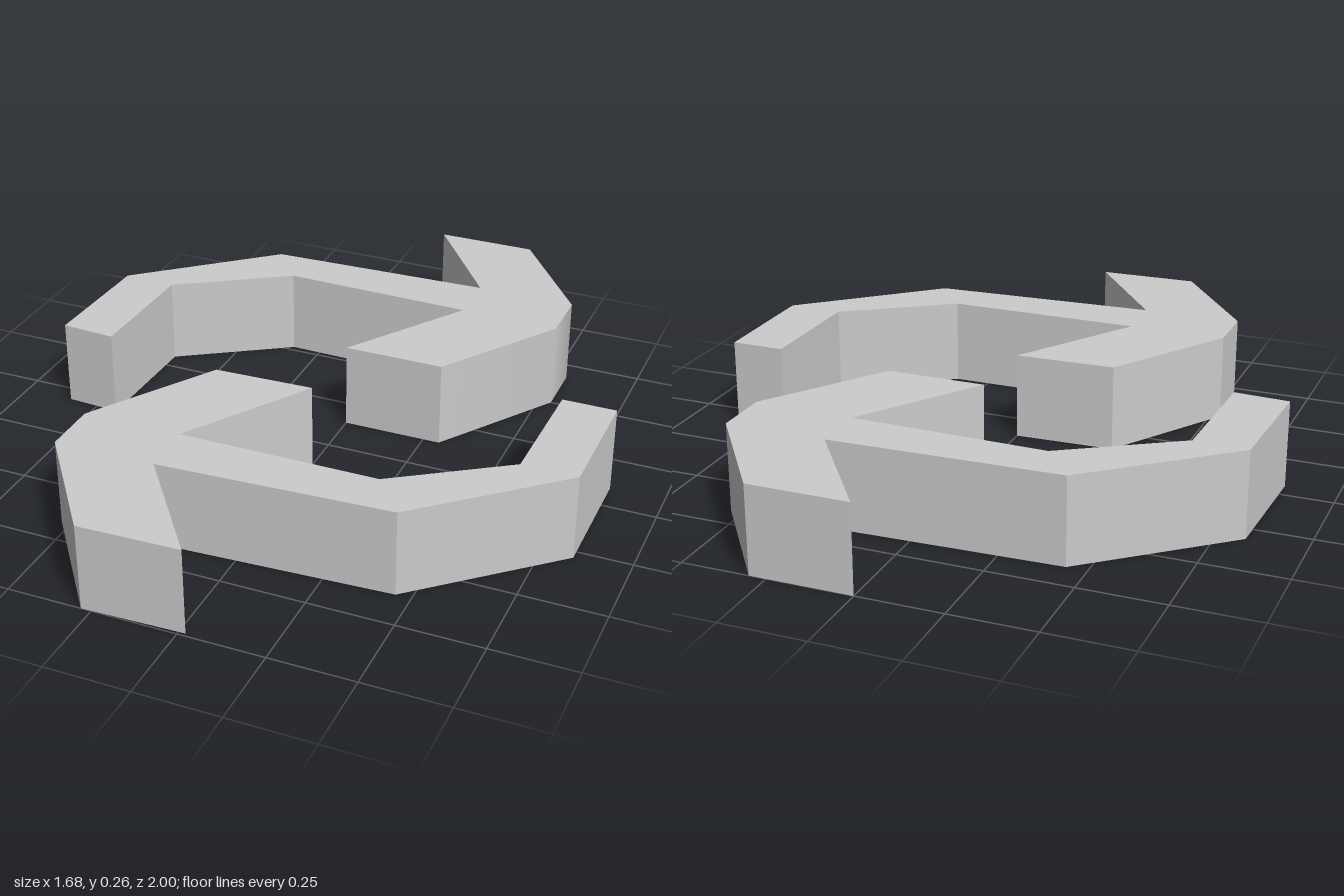
import * as THREE from 'three';

const HEIGHT = 0.26;

// Outline points are [x, z] on the ground plane.
function makeArrow(name, outline) {
  const shape = new THREE.Shape(outline.map(([x, z]) => new THREE.Vector2(x, -z)));
  const geometry = new THREE.ExtrudeGeometry(shape, { depth: HEIGHT, bevelEnabled: false });
  geometry.rotateX(-Math.PI / 2);
  const mesh = new THREE.Mesh(geometry, new THREE.MeshStandardMaterial({ color: 0xcccccc }));
  mesh.name = name;
  return mesh;
}

// Blend the wall normals at the blunt tip so it shades as a soft curve.
function softenTip(geometry, tipX, tipZ) {
  const { position, normal } = geometry.attributes;
  for (let i = 0; i < position.count; i++) {
    if (position.getX(i) < tipX - 0.01 || Math.abs(normal.getY(i)) > 0.5) continue;
    const n = new THREE.Vector3(1, 0, position.getZ(i) < tipZ ? -0.32 : 0.3).normalize();
    normal.setXYZ(i, n.x, n.y, n.z);
  }
}

export function createModel() {
  const group = new THREE.Group();
  group.name = 'circulatingArrows';

  // Back arrow: bent tail on the right, head pointing to +x
  const backArrow = makeArrow('backArrow', [
    [0, -1], [0.3, -1], [0.54, -0.67], [0.54, -0.5], [0.3, -0.14], [0, -0.14],
    [0.24, -0.505], [-0.34, -0.52], [-0.67, -0.31], [-0.68, 0.07], [-0.845, 0.06],
    [-0.83, -0.315], [-0.44, -0.65], [0.24, -0.67],
  ]);
  softenTip(backArrow.geometry, 0.54, -0.585);

  // Front arrow: bent tail on the left, head pointing to -x
  const frontArrow = makeArrow('frontArrow', [
    [0, 0.12], [-0.3, 0.13], [-0.53, 0.5], [-0.53, 0.665], [-0.28, 1], [0.02, 0.99],
    [-0.23, 0.66], [0.455, 0.625], [0.84, 0.28], [0.84, -0.095], [0.68, -0.095],
    [0.675, 0.28], [0.355, 0.495], [-0.235, 0.495],
  ]);

  group.add(backArrow, frontArrow);
  return group;
}
